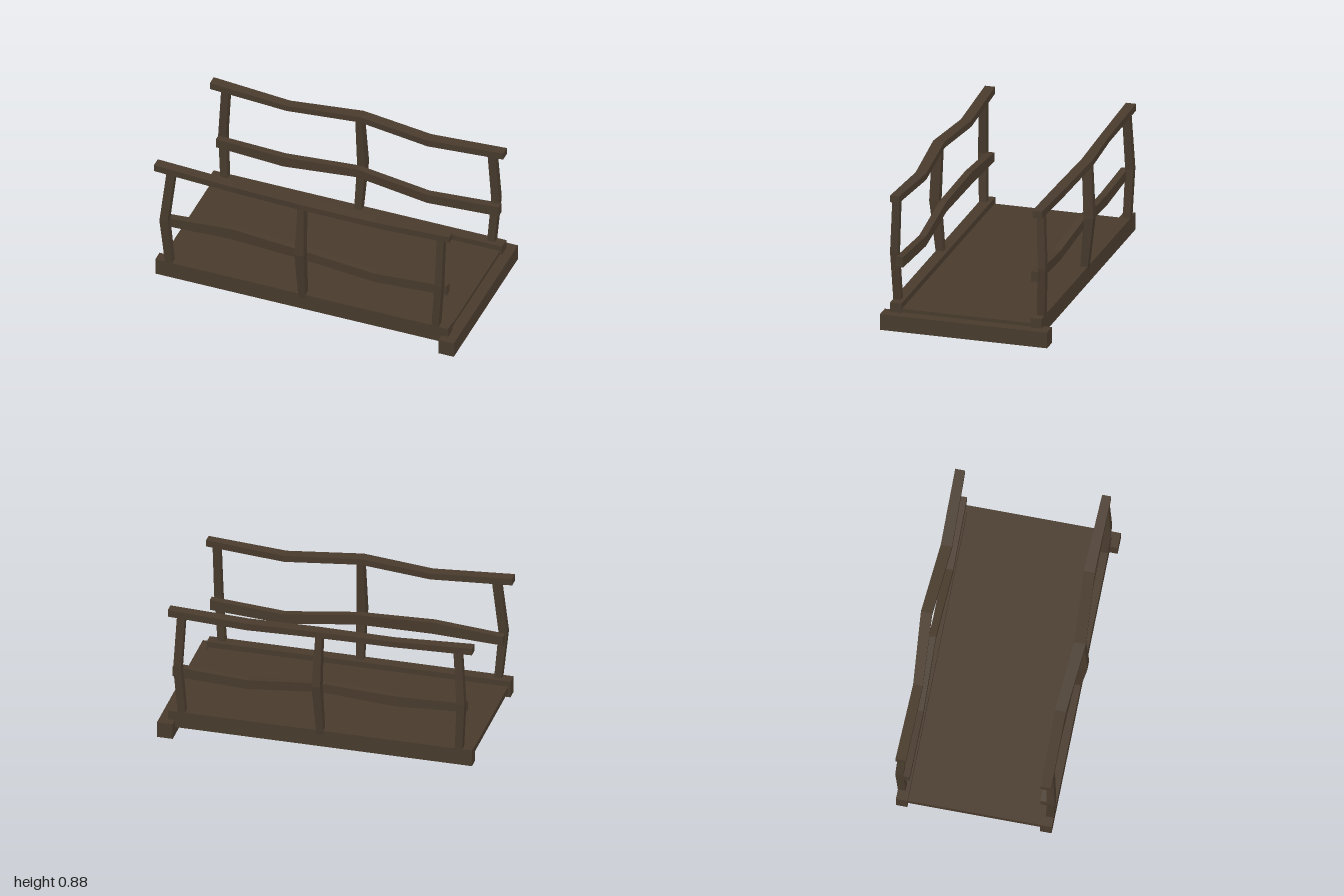
import * as THREE from 'three';

// Lofts four-cornered sections into a closed, hard-edged timber.
function loft(sections) {
  const pos = [];
  const quad = (a, b, c, d) => [a, b, c, a, c, d].forEach(p => pos.push(...p));
  for (let i = 0; i < sections.length - 1; i++) {
    const s = sections[i], t = sections[i + 1];
    for (let j = 0; j < 4; j++) {
      const k = (j + 1) % 4;
      quad(s[j], s[k], t[k], t[j]);
    }
  }
  const f = sections[0], l = sections[sections.length - 1];
  quad(f[3], f[2], f[1], f[0]);
  quad(l[0], l[1], l[2], l[3]);
  const geo = new THREE.BufferGeometry();
  geo.setAttribute('position', new THREE.Float32BufferAttribute(pos, 3));
  geo.computeVertexNormals();
  return geo;
}

// Rail along x, each station: x, y min, y max, z min, z max
const rail = stations => loft(stations.map(([x, y0, y1, z0, z1]) =>
  [[x, y0, z0], [x, y1, z0], [x, y1, z1], [x, y0, z1]]));

// Post along y, each station: y, x min, x max, z min, z max
const post = stations => loft(stations.map(([y, x0, x1, z0, z1]) =>
  [[x0, y, z0], [x0, y, z1], [x1, y, z1], [x1, y, z0]]));

export function createModel() {
  const model = new THREE.Group();
  model.name = 'footbridge';
  const wood = new THREE.MeshStandardMaterial({ color: 0x4a3c2e });
  wood.name = 'dark wood';

  const add = (name, geo) => {
    const mesh = new THREE.Mesh(geo, wood);
    mesh.name = name;
    model.add(mesh);
  };
  const box = (name, x0, x1, y0, y1, z0, z1) => {
    const geo = new THREE.BoxGeometry(x1 - x0, y1 - y0, z1 - z0);
    geo.translate((x0 + x1) / 2, (y0 + y1) / 2, (z0 + z1) / 2);
    add(name, geo);
  };

  // Base timbers
  box('deck', -0.975, 0.93, 0.09, 0.127, -0.45, 0.45);
  box('endBeam', 0.9, 1, 0, 0.103, -0.54, 0.535);
  box('frontSideBeam', -0.99, 0.943, 0.055, 0.165, 0.415, 0.487);
  box('backSideBeam', -0.99, 0.943, 0.055, 0.165, -0.487, -0.415);

  // Front railing
  add('frontHandrail', rail([
    [-1, 0.84, 0.885, 0.42, 0.485], [-0.48, 0.812, 0.853, 0.41, 0.478],
    [-0.03, 0.832, 0.872, 0.442, 0.515], [0.45, 0.8, 0.842, 0.41, 0.478],
    [0.95, 0.826, 0.87, 0.428, 0.485]]));
  add('frontMiddleRail', rail([
    [-0.945, 0.415, 0.475, 0.408, 0.455], [-0.5, 0.432, 0.51, 0.41, 0.455],
    [-0.02, 0.42, 0.485, 0.425, 0.47], [0.45, 0.366, 0.43, 0.41, 0.455],
    [0.922, 0.395, 0.463, 0.41, 0.455]]));
  add('frontRightPost', post([
    [0.12, -0.922, -0.876, 0.437, 0.485], [0.48, -0.958, -0.905, 0.45, 0.5],
    [0.845, -0.918, -0.865, 0.437, 0.483]]));
  add('frontCentrePost', post([
    [0.12, -0.045, 0, 0.437, 0.485], [0.49, -0.055, 0.005, 0.468, 0.53],
    [0.845, -0.042, 0, 0.45, 0.512]]));
  add('frontLeftPost', post([
    [0.12, 0.83, 0.877, 0.437, 0.485], [0.48, 0.858, 0.905, 0.45, 0.5],
    [0.84, 0.866, 0.912, 0.437, 0.483]]));

  // Back railing
  add('backHandrail', rail([
    [-0.99, 0.835, 0.88, -0.49, -0.425], [-0.48, 0.812, 0.85, -0.478, -0.418],
    [-0.01, 0.832, 0.872, -0.52, -0.45], [0.45, 0.8, 0.845, -0.485, -0.415],
    [0.945, 0.826, 0.872, -0.49, -0.428]]));
  add('backMiddleRail', rail([
    [-0.945, 0.41, 0.47, -0.455, -0.41], [-0.5, 0.385, 0.455, -0.455, -0.41],
    [-0.02, 0.425, 0.485, -0.47, -0.425], [0.45, 0.37, 0.432, -0.455, -0.408],
    [0.922, 0.395, 0.463, -0.46, -0.412]]));
  add('backRightPost', post([
    [0.12, -0.925, -0.878, -0.485, -0.437], [0.48, -0.945, -0.895, -0.5, -0.45],
    [0.845, -0.92, -0.87, -0.483, -0.437]]));
  add('backCentrePost', post([
    [0.12, -0.045, 0, -0.485, -0.437], [0.49, -0.035, 0.02, -0.53, -0.468],
    [0.845, -0.04, 0, -0.512, -0.45]]));
  add('backLeftPost', post([
    [0.12, 0.832, 0.88, -0.485, -0.437], [0.48, 0.858, 0.908, -0.5, -0.45],
    [0.84, 0.838, 0.888, -0.483, -0.437]]));

  return model;
}
